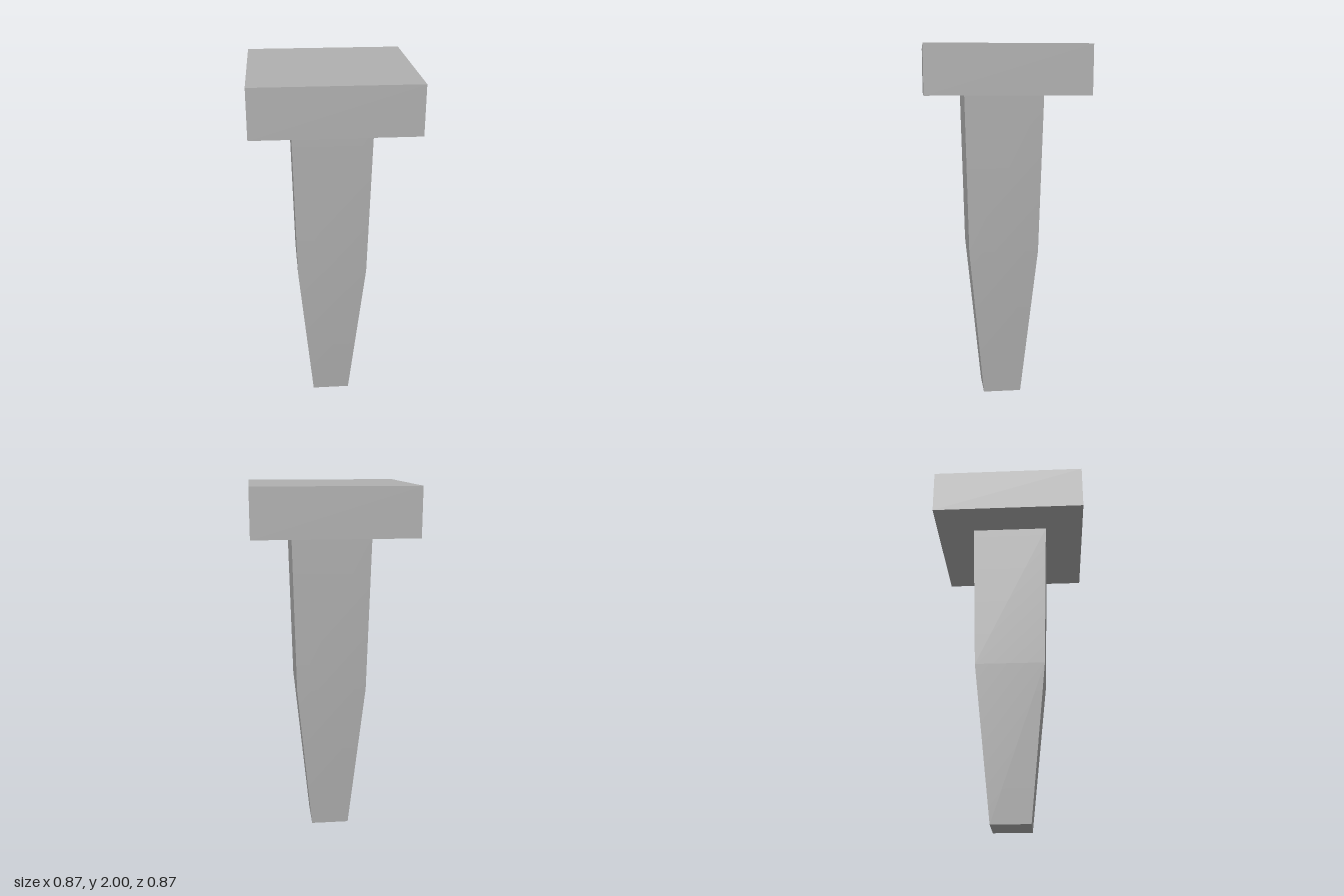
import * as THREE from 'three';
import { toCreasedNormals } from 'three/addons/utils/BufferGeometryUtils.js';

export function createModel() {
  const group = new THREE.Group();
  const grey = new THREE.MeshStandardMaterial({ color: 0xb0b0b0 });
  grey.name = 'grey';

  // Square slab on top
  const headBottom = 1.74, headTop = 2;
  const head = new THREE.Mesh(new THREE.BoxGeometry(0.866, headTop - headBottom, 0.866), grey);
  head.name = 'head';
  head.position.y = (headBottom + headTop) / 2;
  group.add(head);

  // Square shank: [half width, height] at the tip, the bend and under the head
  const profile = [[0.108, 0], [0.194, 0.87], [0.216, headBottom]];
  const box = new THREE.BoxGeometry(1, 2, 1, 1, 2, 1);
  const pos = box.attributes.position;
  for (let i = 0; i < pos.count; i++) {
    const [half, y] = profile[Math.round(pos.getY(i)) + 1];
    pos.setXYZ(i, Math.sign(pos.getX(i)) * half, y, Math.sign(pos.getZ(i)) * half);
  }
  // Soft bend along the length, sharp corners
  const shank = new THREE.Mesh(toCreasedNormals(box, Math.PI / 6), grey);
  shank.name = 'shank';
  group.add(shank);

  return group;
}
